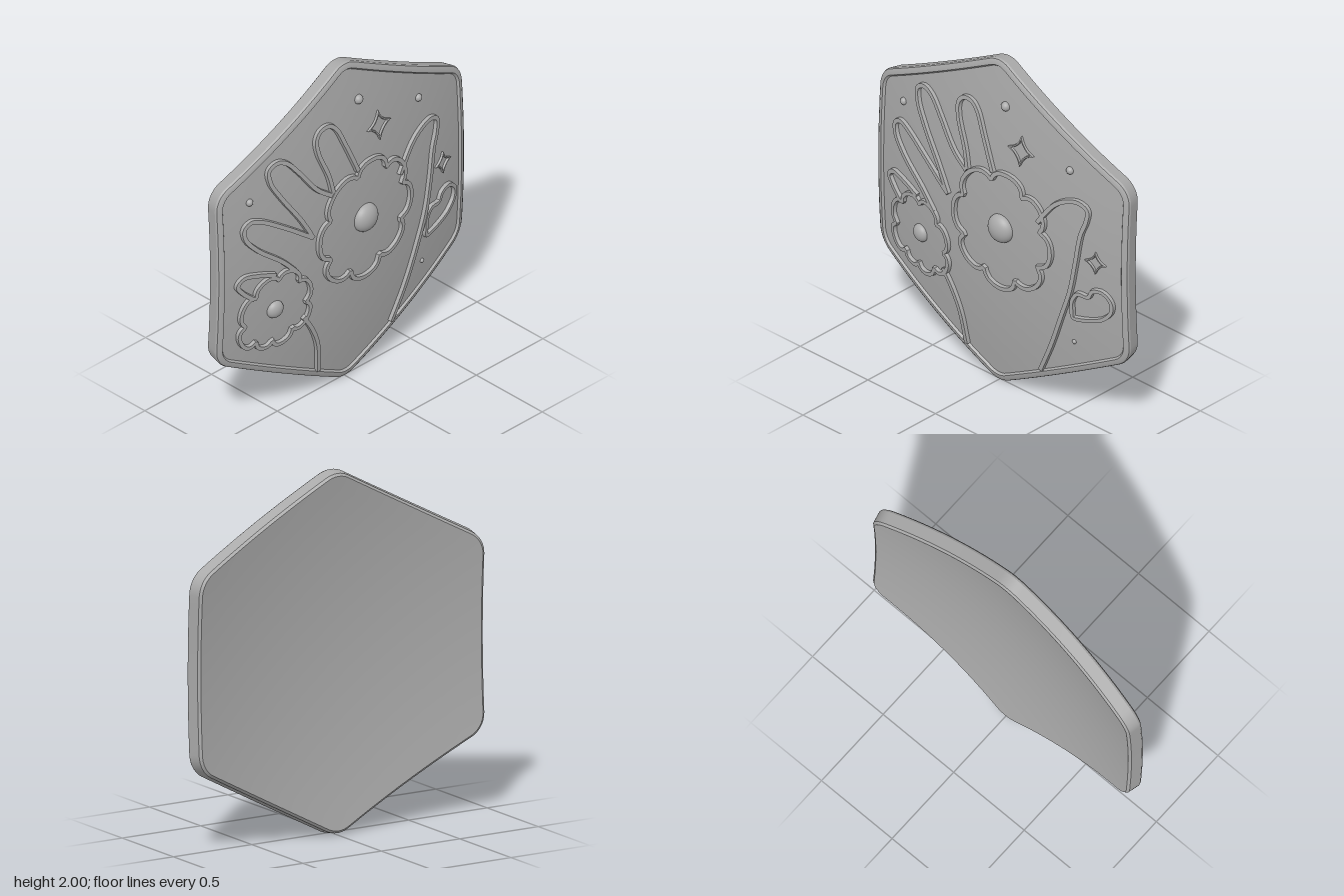
import * as THREE from 'three';
import { toCreasedNormals } from 'three/addons/utils/BufferGeometryUtils.js';

const plaster = new THREE.MeshStandardMaterial({ color: 0xaaaaaa });
plaster.name = 'plaster grey';

// Shallow dome: lifts a flat point by h along the dome's normal
const normalAt = (x, y) => new THREE.Vector3(0.25 * x, 0.16 * y, 1).normalize();
function warp(x, y, h) {
  const z = 0.08 - 0.125 * x * x - 0.08 * y * y;
  return new THREE.Vector3(x, y + 1, z).addScaledVector(normalAt(x, y), h);
}

// Skin between rows of [x, y, h] points
function loft(rows, closed) {
  const n = rows[0].length, pos = [], idx = [];
  rows.forEach(row => row.forEach(p => pos.push(...warp(...p).toArray())));
  for (let j = 0; j < rows.length - 1; j++) {
    for (let i = 0; i < (closed ? n : n - 1); i++) {
      const k = (i + 1) % n, a = j * n, b = a + n;
      idx.push(a + i, b + i, b + k, a + i, b + k, a + k);
    }
  }
  const g = new THREE.BufferGeometry();
  g.setAttribute('position', new THREE.Float32BufferAttribute(pos, 3));
  g.setIndex(idx);
  return toCreasedNormals(g, 0.5);
}

function add(group, name, geometry) {
  const m = new THREE.Mesh(geometry, plaster);
  m.name = name;
  group.add(m);
  return m;
}

// Rounded hexagon, inset by d
function hexagon(d) {
  const r = 0.15 - d, a = 62.1, pts = [];
  const corners = [
    [0.775, 0.44, 0, a], [0, 0.85, a, 180 - a], [-0.775, 0.44, 180 - a, 180],
    [-0.775, -0.44, 180, 180 + a], [0, -0.85, 180 + a, 360 - a], [0.775, -0.44, 360 - a, 360],
  ];
  const at = ([x, y], deg) => {
    const t = THREE.MathUtils.degToRad(deg);
    return [x + r * Math.cos(t), y + r * Math.sin(t)];
  };
  corners.forEach((c, k) => {
    for (let i = 0; i <= 8; i++) pts.push(at(c, c[2] + (c[3] - c[2]) * i / 8));
    const p = at(c, c[3]), q = at(corners[(k + 1) % 6], c[3]);
    for (let i = 1; i < 14; i++) {
      pts.push([p[0] + (q[0] - p[0]) * i / 14, p[1] + (q[1] - p[1]) * i / 14]);
    }
  });
  return pts;
}

function plate() {
  const rows = [];
  const ring = (d, h, s = 1) => rows.push(hexagon(d).map(([x, y]) => [x * s, y * s, h]));
  for (let i = 0; i <= 12; i++) ring(0.046, 0, i / 12);
  // raised rim, side wall and small back bevel
  [[0.038, 0.013], [0.02, 0.013], [0.006, 0.007], [0, -0.004], [0, -0.072], [0.012, -0.085]]
    .forEach(([d, h]) => ring(d, h));
  for (let i = 11; i >= 0; i--) ring(0.012, -0.085, i / 12);
  return loft(rows, true);
}

// Raised flat-topped line following a path
function ridge(points, closed = false, width = 0.03, height = 0.02) {
  const curve = new THREE.CatmullRomCurve3(
    points.map(([x, y]) => new THREE.Vector3(x, y, 0)), closed, 'centripetal');
  const pts = curve.getSpacedPoints(Math.max(40, Math.ceil(curve.getLength() / 0.015)));
  if (closed) pts.pop();
  const n = pts.length, w = width / 2, top = w - 0.003;
  const at = i => pts[closed ? (i + n) % n : Math.min(Math.max(i, 0), n - 1)];
  const rows = [[-w, -0.004], [-top, height], [top, height], [w, -0.004]].map(([o, h]) => {
    const row = pts.map((p, i) => {
      const t = at(i + 1).clone().sub(at(i - 1)).normalize();
      return [p.x + t.y * o, p.y - t.x * o, h];
    });
    // drop both ends of an open line into the plate
    if (!closed) {
      row.unshift([row[0][0], row[0][1], -0.004]);
      row.push([row[n][0], row[n][1], -0.004]);
    }
    return row;
  });
  return loft(rows, closed);
}

// Drawing units (189 to one unit) to plate coordinates
const U = 189;
const P = pts => pts.map(([x, y]) => [(x - 238.5) / U, (224.5 - y) / U]);

// Petal outline from [angle, radius] of each petal tip
function flowerPath(cx, cy, petals, dip) {
  const pts = [], polar = (deg, r) => {
    const t = THREE.MathUtils.degToRad(deg);
    pts.push([cx + r * Math.cos(t), cy - r * Math.sin(t)]);
  };
  petals.forEach(([a, r], i) => {
    const [b, r2] = petals[(i + 1) % petals.length];
    const gap = ((a - b) % 360 + 360) % 360;
    polar(a, r);
    polar(a - gap * 0.27, r * 0.97);
    polar(a - gap * 0.42, r * 0.9);
    polar(a - gap * 0.5, (r + r2) / 2 * dip);
    polar(a - gap * 0.58, r2 * 0.9);
    polar(a - gap * 0.73, r2 * 0.97);
  });
  return P(pts);
}

function starPath(cx, cy, r) {
  return P(Array.from({ length: 32 }, (_, i) => {
    const t = i / 32 * Math.PI * 2;
    return [cx + r * Math.cos(t) ** 3, cy - r * Math.sin(t) ** 3];
  }));
}

export function createModel() {
  const model = new THREE.Group();
  model.name = 'hexagonal relief tile';
  add(model, 'plate', plate());

  // Hand outline
  const hand = new THREE.Group();
  hand.name = 'hand';
  model.add(hand);
  const lines = {
    indexFinger: [[208, 172], [203, 150], [191, 118], [190, 103], [196, 95], [207, 93.5], [216, 100], [228, 125], [243, 161]],
    middleFinger: [[180, 213], [165, 186], [141, 150], [129, 128], [128, 114], [138, 108.5], [150, 113], [165, 130], [187, 159], [206, 174]],
    ringFinger: [[158, 244], [140, 225], [110, 200], [96, 182], [95, 170], [103, 164.5], [115, 168], [145, 187], [180, 213]],
    littleFinger: [[106, 258], [93, 246], [86, 235], [93, 228], [112, 231], [132, 238]],
    thumb: [[304, 195], [312, 183], [325, 167], [340, 157.5], [355, 154.5], [365, 160], [364, 173], [358, 190],
      [352, 225], [345, 260], [333, 295], [318, 335], [300, 374]],
    wrist: [[170, 306], [183, 327], [192, 350], [197, 386]],
  };
  for (const [name, pts] of Object.entries(lines)) add(hand, name, ridge(P(pts)));

  // Flowers
  add(model, 'largeFlower', ridge(flowerPath(254, 222,
    [[130, 65], [76, 66], [40, 67], [-6, 67], [-48, 69], [-92, 71], [-132, 72], [-170, 66]], 0.83), true));
  add(model, 'smallFlower', ridge(flowerPath(134, 282,
    [[108, 43], [65, 45], [17, 45], [-33, 48], [-77, 45], [-112, 44], [-143, 49], [-198, 44]], 0.82), true, 0.028));

  // Heart and four-pointed sparkles
  add(model, 'heart', ridge(P([[347.5, 291.5], [346.5, 282], [347, 272], [354, 261], [367, 260.5], [372, 252], [384, 249.5],
    [394, 258], [394, 269], [384, 281], [368, 288], [356, 291]]), true, 0.027));
  add(model, 'largeSparkle', ridge(starPath(277.5, 124, 16), true, 0.013, 0.012));
  add(model, 'smallSparkle', ridge(starPath(375, 218, 12), true, 0.012, 0.012));

  // Flower centres and beads: [name, x, y, radius, height]
  const beads = [
    ['largeFlowerCentre', 254, 222.5, 0.083, 0.056], ['smallFlowerCentre', 134, 282, 0.052, 0.036],
    ['bead', 252.5, 83, 0.027, 0.027], ['bead', 340, 123, 0.022, 0.022],
    ['bead', 104, 142, 0.021, 0.021], ['bead', 345.5, 323, 0.013, 0.013],
  ];
  for (const [name, px, py, r, h] of beads) {
    const [[x, y]] = P([[px, py]]);
    const m = add(model, name, new THREE.SphereGeometry(1, 32, 20));
    m.scale.set(r, r, h);
    m.position.copy(warp(x, y, 0));
    m.quaternion.setFromUnitVectors(new THREE.Vector3(0, 0, 1), normalAt(x, y));
  }
  return model;
}
